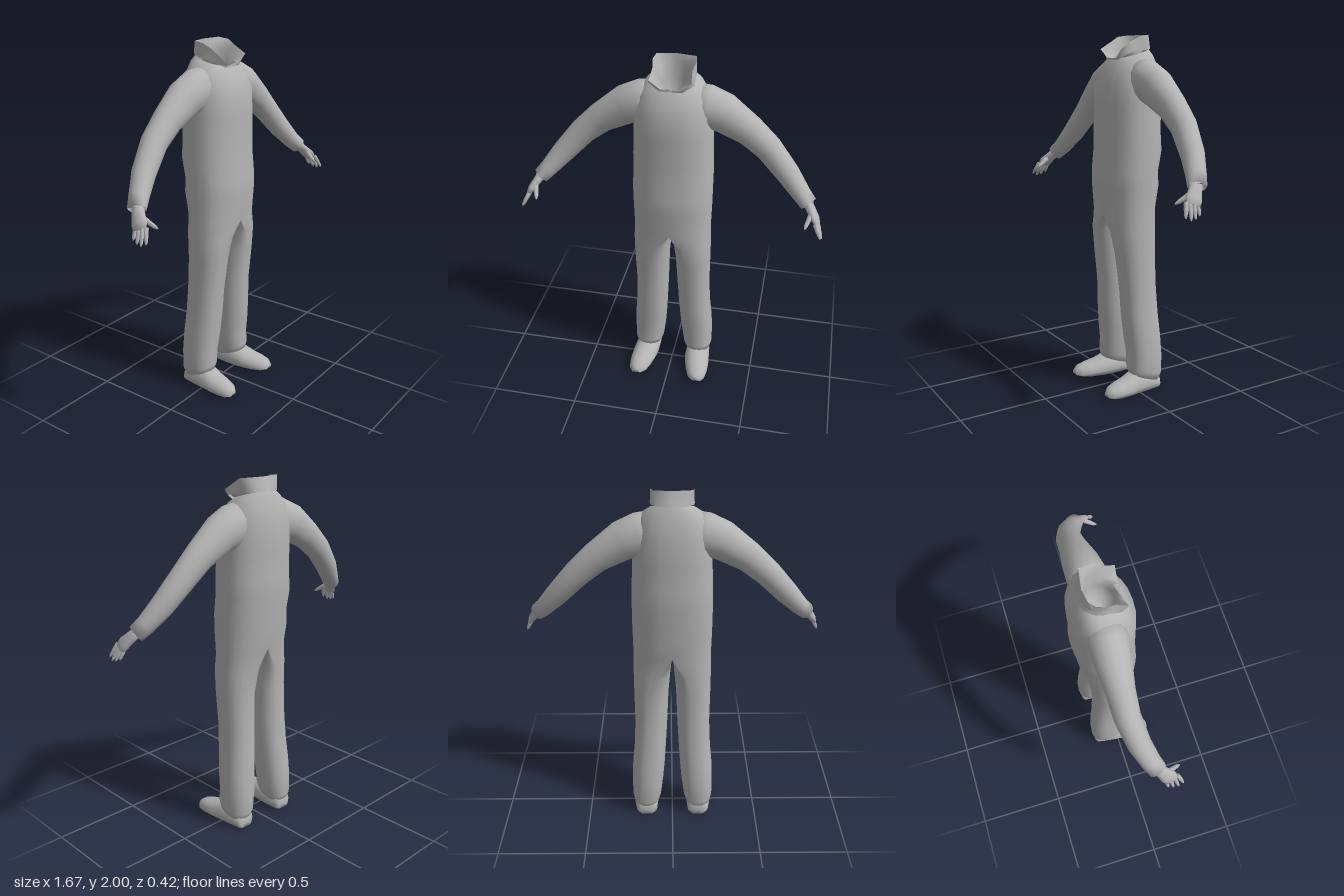
import * as THREE from 'three';
import { mergeGeometries, mergeVertices } from 'three/addons/utils/BufferGeometryUtils.js';

const V = (x, y, z) => new THREE.Vector3(x, y, z);
const N = 24;
const soft = (v) => Math.sign(v) * Math.abs(v) ** 0.88;

// Skin a list of equal-length rings; optional caps close the ends.
function loft(rings, capStart = false, capEnd = false) {
  const n = rings[0].length, pos = [], idx = [];
  rings.forEach((r) => r.forEach((p) => pos.push(p.x, p.y, p.z)));
  for (let i = 0; i < rings.length - 1; i++) {
    for (let j = 0; j < n; j++) {
      const a = i * n + j, b = i * n + (j + 1) % n;
      idx.push(a, b, b + n, a, b + n, a + n);
    }
  }
  const cap = (i, flip) => {
    const c = rings[i].reduce((s, p) => s.add(p), V(0, 0, 0)).divideScalar(n);
    const k = pos.length / 3;
    pos.push(c.x, c.y, c.z);
    for (let j = 0; j < n; j++) {
      const a = i * n + j, b = i * n + (j + 1) % n;
      if (flip) idx.push(k, b, a); else idx.push(k, a, b);
    }
  };
  if (capStart) cap(0, true);
  if (capEnd) cap(rings.length - 1, false);
  const g = new THREE.BufferGeometry();
  g.setAttribute('position', new THREE.Float32BufferAttribute(pos, 3));
  g.setIndex(idx);
  return g;
}

function smooth(g) {
  const m = mergeVertices(g, 1e-4);
  m.computeVertexNormals();
  return m;
}

// Horizontal ring between inner and outer x; round = 0 gives a half section with a flat inner side.
function bodyRing(side, [yFront, yBack, xi, xo, zb, zf, round]) {
  const c = xi + (xo - xi) * round, zc = (zb + zf) / 2, rz = (zf - zb) / 2;
  return Array.from({ length: N }, (_, k) => {
    const t = (k / N) * Math.PI * 2;
    const u = soft(Math.cos(t)), w = -soft(Math.sin(t));
    const rx = u * side > 0 ? xo - c : c - xi;
    return V(side * c + u * rx, yBack + (yFront - yBack) * (w + 1) / 2, zc + w * rz);
  });
}

// Full-width torso ring, symmetric about the middle.
const torsoRing = ([yFront, yBack, w, zb, zf]) => bodyRing(1, [yFront, yBack, -w, w, zb, zf, 0.5]);

// Tube along points [x, y, z, thickness radius, width radius].
function limb(pts, n = 16) {
  const p = pts.map((a) => V(a[0], a[1], a[2]));
  const rings = pts.map((a, i) => {
    const t = p[Math.min(i + 1, p.length - 1)].clone().sub(p[Math.max(i - 1, 0)]).normalize();
    const s = V(0, 0, 1).addScaledVector(t, -t.z).normalize();
    const up = s.clone().cross(t);
    return Array.from({ length: n }, (_, k) => {
      const q = (k / n) * Math.PI * 2;
      return p[i].clone().addScaledVector(up, a[3] * Math.cos(q)).addScaledVector(s, a[4] * Math.sin(q));
    });
  });
  return smooth(loft(rings, true, true));
}

function mirrored(g) {
  const m = g.clone().scale(-1, 1, 1), ix = m.index;
  for (let i = 0; i < ix.count; i += 3) {
    const b = ix.getX(i + 1);
    ix.setX(i + 1, ix.getX(i + 2));
    ix.setX(i + 2, b);
  }
  return m;
}

export function createModel() {
  const group = new THREE.Group();
  const grey = new THREE.MeshStandardMaterial({ color: 0xb4b4b4, side: THREE.DoubleSide });
  grey.name = 'plain grey';
  const add = (name, g) => {
    const m = new THREE.Mesh(g, grey);
    m.name = name;
    group.add(m);
  };
  const addPair = (name, g) => {
    add('left' + name, g);
    add('right' + name, mirrored(g));
  };

  // Jumpsuit: two trouser legs joining one torso at the crotch
  const legs = [
    [0.115, 0.07, 0.1, 0.21, -0.11, 0.02, 0.5],
    [0.105, 0.045, 0.085, 0.23, -0.145, 0.035, 0.5],
    [0.14, 0.09, 0.068, 0.24, -0.163, 0.042, 0.5],
    [0.22, 0.2, 0.056, 0.24, -0.165, 0.04, 0.5],
    [0.32, 0.32, 0.046, 0.236, -0.158, 0.052, 0.5],
    [0.45, 0.45, 0.038, 0.224, -0.147, 0.064, 0.5],
    [0.6, 0.6, 0.03, 0.217, -0.138, 0.07, 0.5],
    [0.8, 0.8, 0.022, 0.22, -0.132, 0.093, 0.46],
    [0.93, 0.94, 0.01, 0.221, -0.145, 0.112, 0.34],
    [1.02, 1.07, 0, 0.218, -0.163, 0.122, 0],
  ];
  const torso = [
    [1.02, 1.07, 0.218, -0.163, 0.122],
    [1.18, 1.18, 0.221, -0.187, 0.138],
    [1.26, 1.27, 0.222, -0.183, 0.136],
    [1.36, 1.38, 0.221, -0.207, 0.128],
    [1.48, 1.48, 0.218, -0.2, 0.125],
    [1.62, 1.62, 0.212, -0.204, 0.125],
    [1.73, 1.75, 0.208, -0.204, 0.124],
    [1.81, 1.84, 0.185, -0.185, 0.09],
    [1.855, 1.9, 0.15, -0.165, 0.065],
    [1.875, 1.93, 0.11, -0.15, 0.048],
  ];
  add('jumpsuit', smooth(mergeGeometries([
    loft(legs.map((r) => bodyRing(1, r)), true),
    loft(legs.map((r) => bodyRing(-1, r)), true),
    loft(torso.map(torsoRing)),
  ])));

  // Collar: half outlines run from the front centre to the back centre
  const fullRing = (h) => [...h, ...h.slice(1, -1).reverse().map(([x, y, z]) => [-x, y, z])]
    .map((a) => V(...a));
  const base = fullRing([[0, 1.865, 0.055], [0.06, 1.868, 0.055], [0.118, 1.9, 0.03],
    [0.115, 1.912, -0.03], [0.11, 1.92, -0.09], [0.07, 1.925, -0.145], [0, 1.925, -0.155]]);
  const rim = fullRing([[0, 1.876, 0.05], [0.05, 1.88, 0.06], [0.108, 1.925, 0.065],
    [0.102, 1.965, 0], [0.112, 1.992, -0.05], [0.104, 2, -0.11], [0, 2, -0.127]]);
  const throat = (r, yFront, yBack) => rim.map((_, k) => {
    const t = (k / rim.length) * Math.PI * 2, w = Math.cos(t);
    return V(r * Math.sin(t), yBack + (yFront - yBack) * (w + 1) / 2, -0.043 + r * w);
  });
  add('collar', smooth(loft([base, rim])));
  add('neckLining', smooth(loft(
    [rim, throat(0.085, 1.873, 1.965), throat(0.076, 1.82, 1.87), throat(0.065, 1.74, 1.76)], false, true)));

  // Sleeves with a slightly flared cuff
  addPair('Sleeve', limb([
    [0.09, 1.772, -0.05, 0.11, 0.095], [0.17, 1.752, -0.055, 0.118, 0.102],
    [0.26, 1.722, -0.06, 0.106, 0.094], [0.4, 1.632, -0.062, 0.083, 0.074],
    [0.505, 1.54, -0.06, 0.073, 0.068], [0.62, 1.413, -0.032, 0.063, 0.062],
    [0.7, 1.322, 0.005, 0.05, 0.054], [0.743, 1.28, 0.03, 0.046, 0.05],
    [0.742, 1.282, 0.03, 0.03, 0.035],
  ]));

  // Hands: flat palm, four fingers and a thumb
  addPair('Palm', limb([
    [0.73, 1.295, 0.025, 0.026, 0.032], [0.757, 1.262, 0.05, 0.024, 0.035],
    [0.785, 1.225, 0.08, 0.021, 0.045], [0.8, 1.2, 0.095, 0.013, 0.038],
  ], 12));
  for (let i = 0; i < 4; i++) {
    const z = 0.064 + i * 0.021, len = [0.8, 0.95, 1, 0.85][i];
    const at = (t, r) => [0.788 + 0.042 * t * len, 1.215 - 0.083 * t * len, z + (0.006 + 0.007 * i) * t, r, r];
    addPair('Finger' + (i + 1), limb([at(0, 0.012), at(0.5, 0.011), at(0.85, 0.008), at(1, 0.003)], 8));
  }
  addPair('Thumb', limb([
    [0.765, 1.255, 0.07, 0.016, 0.018], [0.752, 1.228, 0.11, 0.013, 0.014],
    [0.742, 1.21, 0.138, 0.011, 0.011], [0.737, 1.2, 0.156, 0.004, 0.004],
  ], 8));

  // Shoes: cross-sections from heel to toe [z, centre x, half width, height]
  const shoe = [[-0.15, 0.155, 0.04, 0.06], [-0.135, 0.155, 0.062, 0.09], [-0.06, 0.158, 0.072, 0.12],
    [0.02, 0.163, 0.076, 0.115], [0.07, 0.17, 0.074, 0.092], [0.13, 0.178, 0.066, 0.08],
    [0.18, 0.184, 0.052, 0.066], [0.208, 0.188, 0.026, 0.045]];
  addPair('Shoe', smooth(loft(shoe.map(([z, x, rx, h]) => Array.from({ length: 16 }, (_, k) => {
    const t = (k / 16) * Math.PI * 2, s = Math.sin(t);
    const lift = z > 0.15 ? (z - 0.15) * 0.25 : 0;
    return V(x + rx * soft(Math.cos(t)), Math.max(lift, h / 3 + (s > 0 ? s * h * 2 / 3 : s * h * 0.45)), z);
  })), true, true)));

  return group;
}
